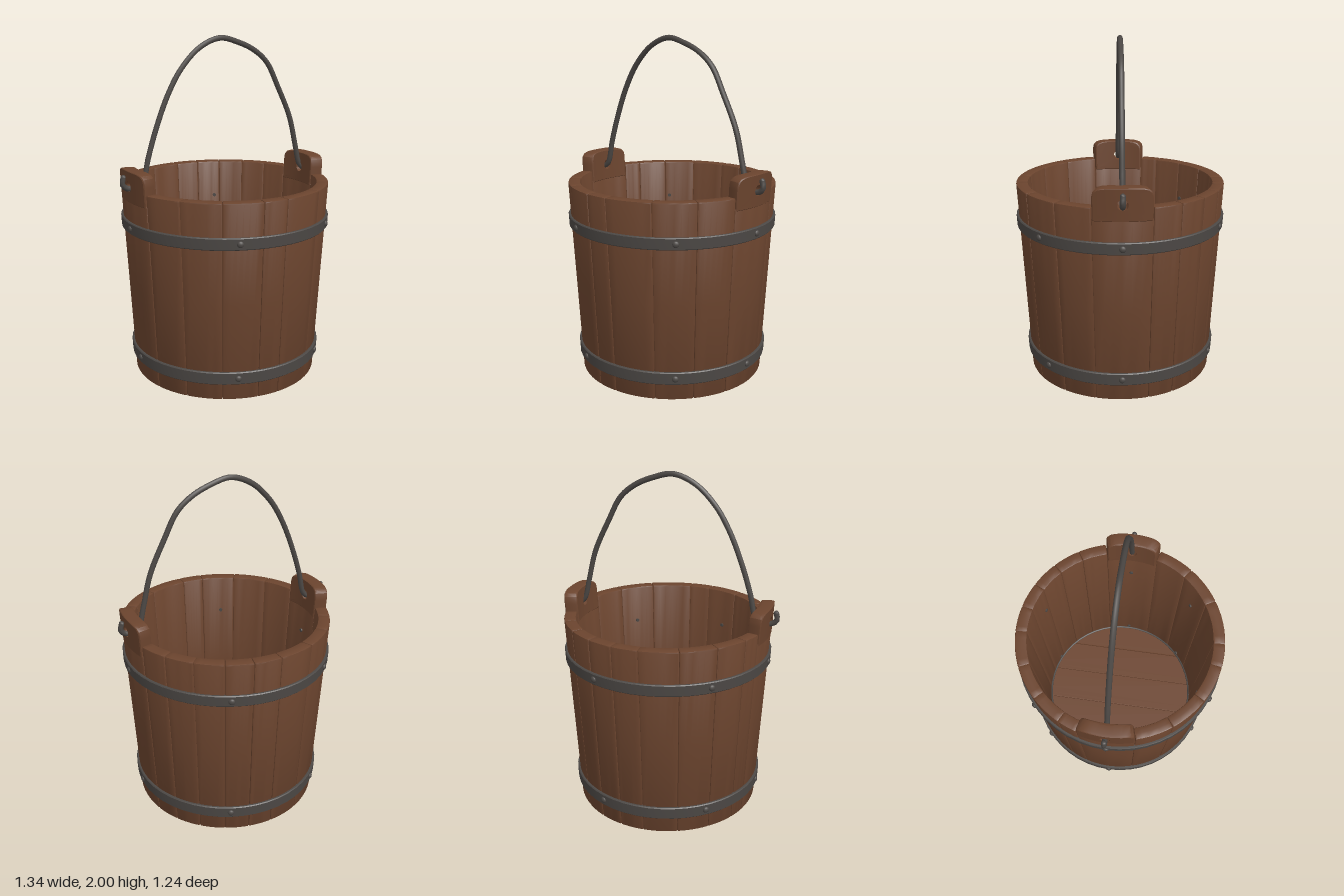
import * as THREE from 'three';
import { toCreasedNormals, mergeGeometries } from 'three/addons/utils/BufferGeometryUtils.js';

const HEIGHT = 1.16, WALL = 0.07;
const wallRadius = (y) => 0.55 + 0.056 * y;
const rad = THREE.MathUtils.degToRad;

// Apply a rule to every vertex: rule(x, y, z, index) returns [x, y, z]
function reshape(geo, rule, crease = 0.5) {
  const p = geo.attributes.position;
  for (let i = 0; i < p.count; i++) p.setXYZ(i, ...rule(p.getX(i), p.getY(i), p.getZ(i), i));
  return toCreasedNormals(geo, crease);
}

// Wrap (angle, height, offset from the outer wall) around the tapered bucket
function wrap(angle, y, d) {
  const r = wallRadius(y) + d;
  return [Math.sin(angle) * r, y, Math.cos(angle) * r];
}

// One curved plank with softened edges, between two angles in degrees
function staveGeometry(a0, a1, top) {
  const R = 0.6, soft = 0.008, cells = [4, 2, 2];
  const mid = rad((a0 + a1) / 2);
  const half = [rad(a1 - a0) / 2 * R, top / 2, WALL / 2];
  const geo = new THREE.BoxGeometry(8, 4, 4, 8, 4, 4);
  return reshape(geo, (...v) => {
    const core = [], off = new THREE.Vector3();
    for (let k = 0; k < 3; k++) {
      const i = Math.round(v[k]), n = cells[k];
      const inner = half[k] - soft;
      core[k] = Math.abs(i) === n ? Math.sign(i) * inner : i / (n - 1) * inner;
      if (Math.abs(i) === n) off.setComponent(k, Math.sign(i));
    }
    off.setLength(soft);
    return wrap(mid + (core[0] + off.x) / R, core[1] + off.y + top / 2, core[2] + off.z - WALL / 2);
  });
}

// Rounded tab with a round hole, swept around the hole and bent to the wall
function earGeometry(angle) {
  const profile = [[0, 0.004], [0.3, 0.004], [0.65, 0.004], [0.93, 0.004], [0.98, 0], [1, -0.012],
    [1, -0.062], [0.98, -0.07], [0.93, -0.074], [0.65, -0.074], [0.3, -0.074], [0, -0.074], [0, 0.004]];
  const sides = 48, w = 0.165, up = 0.092, down = w * Math.tan(Math.PI / 6);
  const geo = new THREE.PlaneGeometry(1, 1, sides, profile.length - 1);
  return reshape(geo, (x, y, z, i) => {
    const a = (i % (sides + 1)) / sides * Math.PI * 2;
    const [t, d] = profile[Math.floor(i / (sides + 1))];
    const c = Math.cos(a), s = Math.sin(a);
    const edge = s >= -1e-6
      ? Math.pow(Math.pow(Math.abs(c) / w, 5) + Math.pow(Math.abs(s) / up, 5), -0.2)
      : 1 / Math.max(Math.abs(c) / w, -s / down);
    const r = THREE.MathUtils.lerp(0.03, edge, t);
    return wrap(angle + r * c / 0.6, 1.18 + r * s, d);
  });
}

// Floor plank between two x positions, clipped to the round floor
function floorPlankGeometry(x0, x1) {
  const R = 0.495, bevel = 0.004, n = 10, pts = [];
  const a = Math.max(x0 + bevel, -R + 0.001), b = Math.min(x1 - bevel, R - 0.001);
  for (let side = 1; side >= -1; side -= 2) {
    for (let i = 0; i <= n; i++) {
      const x = THREE.MathUtils.lerp(a, b, side > 0 ? i / n : 1 - i / n);
      pts.push(new THREE.Vector2(x, side * Math.sqrt(R * R - x * x)));
    }
  }
  const geo = new THREE.ExtrudeGeometry(new THREE.Shape(pts), {
    depth: 0.045, bevelEnabled: true, bevelSize: bevel, bevelThickness: bevel, bevelSegments: 1,
  });
  return geo.rotateX(-Math.PI / 2).translate(0, 0.054, 0);
}

// Flat iron band following the taper
function hoopGeometry(y0, y1) {
  const p = (y, d) => new THREE.Vector2(wallRadius(y) + d, y);
  const profile = [p(y0, -0.01), p(y0, 0.01), p(y0 + 0.005, 0.015), p(y1 - 0.005, 0.015),
    p(y1, 0.01), p(y1, -0.01)];
  return toCreasedNormals(new THREE.LatheGeometry(profile, 48), 0.5);
}

// Domed nail whose tip pokes out inside the bucket
function nailGeometry(y, angle) {
  const head = new THREE.SphereGeometry(0.019, 12, 8).scale(1, 1, 0.65).translate(0, 0, 0.014);
  const shaft = new THREE.CylinderGeometry(0.011, 0.011, 0.09, 8).rotateX(Math.PI / 2).translate(0, 0, -0.033);
  return mergeGeometries([head, shaft]).translate(0, 0, wallRadius(y)).rotateY(angle).translate(0, y, 0);
}

export function createModel() {
  const wood = new THREE.MeshStandardMaterial({ color: 0x6b442e });
  wood.name = 'brown wood';
  const iron = new THREE.MeshStandardMaterial({ color: 0x4c4845 });
  iron.name = 'dark iron';

  const model = new THREE.Group();
  model.name = 'bucket';
  const add = (name, geo, mat) => {
    const mesh = new THREE.Mesh(geo, mat);
    mesh.name = name;
    model.add(mesh);
  };

  // Staves of uneven width; the two side ones carry the ears
  const seams = [-74, -53, -31, -9.5, 4, 30, 53, 74, 106, 122, 138, 154, 169, 184, 205, 225, 243, 254, 286];
  for (let i = 0; i < seams.length - 1; i++) {
    const a = seams[i], b = seams[i + 1];
    const side = a === 74 || a === 254;
    add(side ? 'earStave' : 'stave', staveGeometry(a, b, side ? 1.1 : HEIGHT), wood);
  }
  add('leftEar', earGeometry(Math.PI / 2), wood);
  add('rightEar', earGeometry(-Math.PI / 2), wood);

  // Floor planks and the thin ring sealing them
  const cuts = [-0.5, -0.31, -0.1, 0.11, 0.31, 0.5];
  for (let i = 0; i < cuts.length - 1; i++) add('floorPlank', floorPlankGeometry(cuts[i], cuts[i + 1]), wood);
  add('floorRing', new THREE.TorusGeometry(0.484, 0.007, 6, 48).rotateX(Math.PI / 2).translate(0, 0.107, 0), iron);

  // Hoops and their nails
  const nailAngles = [-22, 42, 90, 157.5, 222, 270];
  for (const [name, y0, y1] of [['lowerHoop', 0.1, 0.175], ['upperHoop', 0.9, 0.97]]) {
    add(name, hoopGeometry(y0, y1), iron);
    for (const a of nailAngles) add('nail', nailGeometry((y0 + y1) / 2, rad(a)), iron);
  }

  // Hand-bent handle, hooked through both ears
  const path = [[-0.65, 1.235], [-0.655, 1.195], [-0.625, 1.17], [-0.56, 1.172], [-0.528, 1.2], [-0.495, 1.33],
    [-0.44, 1.5], [-0.365, 1.68], [-0.28, 1.82], [-0.16, 1.935], [-0.03, 1.984], [0.09, 1.958],
    [0.2, 1.91], [0.29, 1.835], [0.37, 1.69], [0.46, 1.5], [0.51, 1.31], [0.54, 1.2],
    [0.57, 1.172], [0.625, 1.17], [0.65, 1.195], [0.643, 1.235]];
  const curve = new THREE.CatmullRomCurve3(path.map(([x, y]) => new THREE.Vector3(x, y, 0)));
  add('handle', new THREE.TubeGeometry(curve, 120, 0.016, 8), iron);
  for (const [x, y] of [path[0], path[path.length - 1]]) {
    add('handleTip', new THREE.SphereGeometry(0.016, 8, 6).translate(x, y, 0), iron);
  }

  return model;
}
